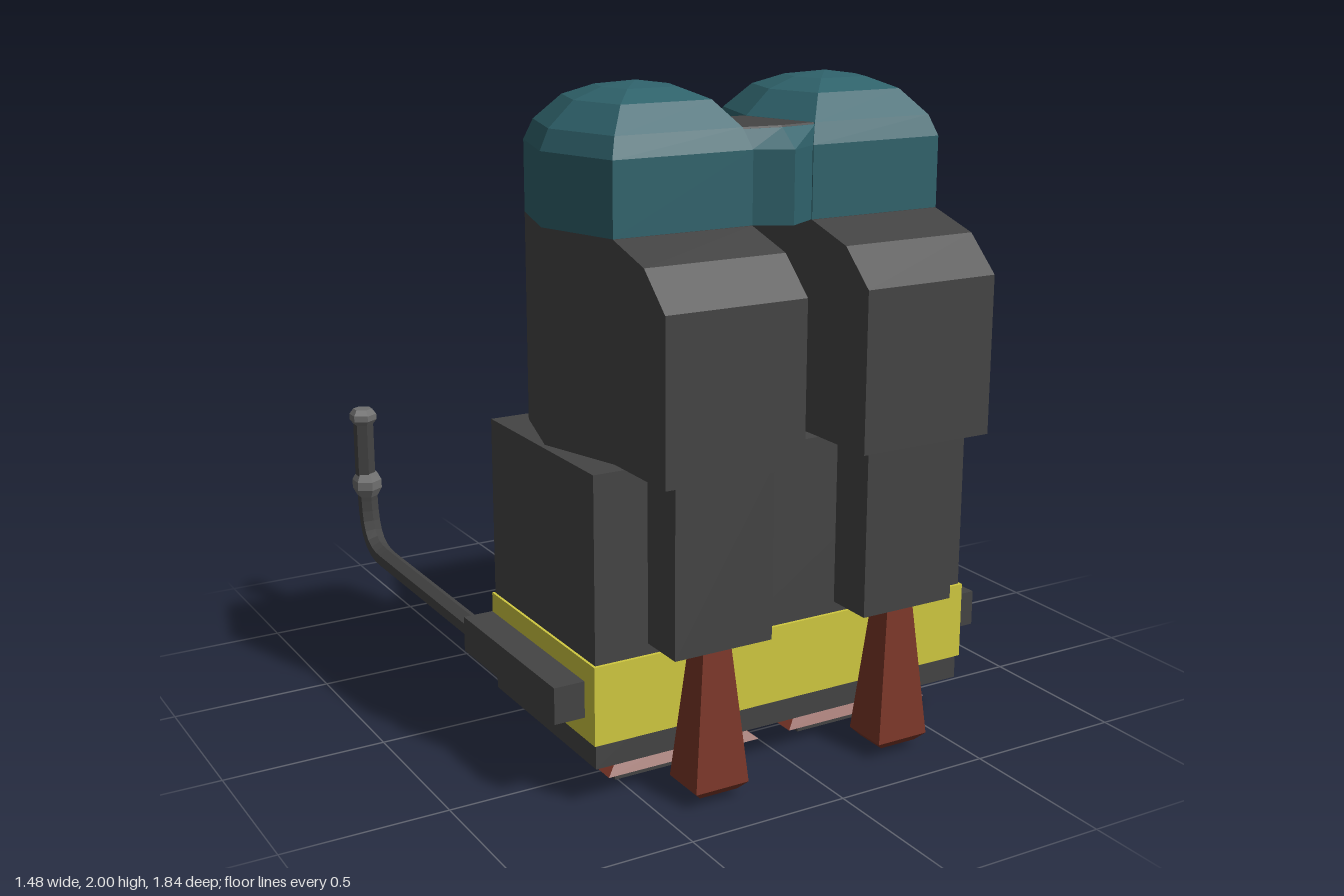
import * as THREE from 'three';

const mat = (color) => new THREE.MeshStandardMaterial({ color, flatShading: true, side: THREE.DoubleSide });
const dark = mat(0x444444), teal = mat(0x2f626b), yellow = mat(0xd0c840);
const rust = mat(0x7a3628), red = mat(0x780008), steel = mat(0x707070);

// Footprints as [x, z] corners, counterclockwise from above
const hexPrint = [[0.3, 0], [0.22, -0.268], [-0.22, -0.268], [-0.3, 0], [-0.22, 0.268], [0.22, 0.268]];
const rectPrint = (a, b) => [[a, -b], [-a, -b], [-a, b], [a, b]];
const scaled = (print, s) => print.map(([x, z]) => [x * s, z * s]);

// Closed solid through stacked cross-sections, bottom to top: [[y, footprint], ...]
function loft(levels) {
  const pos = [];
  const n = levels[0][1].length;
  const tri = (...pts) => pts.forEach((p) => pos.push(...p));
  const at = ([y, print], i) => [print[i % n][0], y, print[i % n][1]];
  for (let k = 0; k < levels.length - 1; k++) {
    for (let i = 0; i < n; i++) {
      const a = at(levels[k], i), b = at(levels[k], i + 1);
      const c = at(levels[k + 1], i + 1), d = at(levels[k + 1], i);
      tri(a, b, c);
      tri(a, c, d);
    }
  }
  const first = levels[0], last = levels[levels.length - 1];
  for (let i = 1; i < n - 1; i++) {
    tri(at(first, 0), at(first, i + 1), at(first, i));
    tri(at(last, 0), at(last, i), at(last, i + 1));
  }
  const geo = new THREE.BufferGeometry();
  geo.setAttribute('position', new THREE.Float32BufferAttribute(pos, 3));
  geo.computeVertexNormals();
  return geo;
}

function add(parent, name, geo, material, x = 0, y = 0, z = 0) {
  const mesh = new THREE.Mesh(geo, material);
  mesh.name = name;
  mesh.position.set(x, y, z);
  parent.add(mesh);
  return mesh;
}

// Box given by its min and max on each axis
function addBox(parent, name, material, [x0, x1], [y0, y1], [z0, z1]) {
  const geo = new THREE.BoxGeometry(x1 - x0, y1 - y0, z1 - z0);
  return add(parent, name, geo, material, (x0 + x1) / 2, (y0 + y1) / 2, (z0 + z1) / 2);
}

function addTank(parent, s) {
  add(parent, 'tank', loft([[0.985, hexPrint], [1.61, hexPrint]]), dark, s * 0.32, 0, 0.375);
  const dome = [[1.61, 1], [1.82, 1], [1.88, 0.91], [1.953, 0.65], [1.985, 0.36], [2, 0.001]];
  add(parent, 'tankCap', loft(dome.map(([y, k]) => [y, scaled(hexPrint, k)])), teal, s * 0.32, 0, 0.375);

  // Sloped-top housing in front of the tank, drawn as a (-z, y) profile
  const profile = new THREE.Shape([[-0.6, 0.985], [-0.6, 1.61], [-0.64, 1.61], [-0.81, 1.56], [-0.92, 1.455], [-0.92, 0.985]]
    .map(([u, v]) => new THREE.Vector2(u, v)));
  const housing = new THREE.ExtrudeGeometry(profile, { depth: 0.44, bevelEnabled: false });
  housing.translate(0, 0, -0.22).rotateY(Math.PI / 2);
  add(parent, 'frontHousing', housing, dark, s * 0.32);
}

function addThrusters(parent, s) {
  const x = s * 0.317;
  add(parent, 'thrusterBox', new THREE.BoxGeometry(0.315, 0.515, 0.15), dark, x, 0.7275, 0.785);
  add(parent, 'frontNozzle', loft([
    [0.025, rectPrint(0.062, 0.052)], [0.05, rectPrint(0.087, 0.074)], [0.47, rectPrint(0.045, 0.039)],
  ]), rust, x, 0, 0.785);
  add(parent, 'frontNozzleGlow', new THREE.BoxGeometry(0.1, 0.006, 0.08), red, x, 0.024, 0.785);

  add(parent, 'bottomNozzle', loft([
    [0.025, rectPrint(0.2, 0.205)], [0.05, rectPrint(0.255, 0.263)], [0.12, rectPrint(0.17, 0.195)],
  ]), rust, s * 0.31, 0, 0.378);
  add(parent, 'bottomNozzleRim', new THREE.BoxGeometry(0.38, 0.025, 0.395), dark, s * 0.32, 0.0145, 0.378);
  add(parent, 'bottomNozzleGlow', new THREE.BoxGeometry(0.37, 0.006, 0.385), red, s * 0.32, 0.003, 0.378);
}

function addArm(parent, s) {
  const x = s * 0.695;
  addBox(parent, 'armMount', dark, [s * 0.69 - 0.05, s * 0.69 + 0.05], [0.26, 0.37], [0.04, 0.65]);

  // Rod running back and bending upward
  const path = new THREE.CurvePath();
  const v = (y, z) => new THREE.Vector3(x, y, z);
  path.add(new THREE.LineCurve3(v(0.315, 0.06), v(0.315, -0.7)));
  path.add(new THREE.CubicBezierCurve3(v(0.315, -0.7), v(0.315, -0.81), v(0.36, -0.865), v(0.52, -0.865)));
  add(parent, 'armRod', new THREE.TubeGeometry(path, 28, 0.034, 6, false), dark);

  // Grip with a joint below, a cap above and a button at the back
  const knob = (r, h) => new THREE.LatheGeometry(
    [[0, -h], [r * 0.7, -h], [r, -h * 0.35], [r, h * 0.35], [r * 0.7, h], [0, h]].map(([a, b]) => new THREE.Vector2(a, b)), 6);
  add(parent, 'armJoint', knob(0.05, 0.042), steel, x, 0.54, -0.865);
  add(parent, 'grip', new THREE.CylinderGeometry(0.034, 0.034, 0.22, 6), dark, x + s * 0.005, 0.67, -0.865);
  add(parent, 'gripCap', knob(0.046, 0.028), steel, x + s * 0.005, 0.78, -0.865);
  add(parent, 'gripButton', new THREE.BoxGeometry(0.02, 0.03, 0.02), red, x + s * 0.005, 0.72, -0.893);
}

export function createModel() {
  const model = new THREE.Group();
  model.name = 'jetpack';

  addBox(model, 'body', dark, [-0.637, 0.637], [0.12, 0.985], [0.05, 0.7]);
  addBox(model, 'bodyBand', yellow, [-0.645, 0.645], [0.195, 0.432], [0.043, 0.71]);

  // Wedge joining the two caps at the front
  const low = [[0.02, 0.375], [-0.02, 0.375], [-0.1, 0.64], [0, 0.7], [0.1, 0.64]];
  const high = [[0.04, 0.375], [-0.04, 0.375], [-0.12, 0.62], [0, 0.635], [0.12, 0.62]];
  add(model, 'capBridge', loft([[1.61, low], [1.82, low], [1.875, high]]), teal);
  add(model, 'bridgeTop', loft([[1.874, high], [1.88, scaled(high, 0.99)]]), dark);

  for (const s of [-1, 1]) {
    const half = new THREE.Group();
    half.name = s > 0 ? 'leftSide' : 'rightSide';
    addTank(half, s);
    addThrusters(half, s);
    addArm(half, s);
    model.add(half);
  }
  return model;
}
